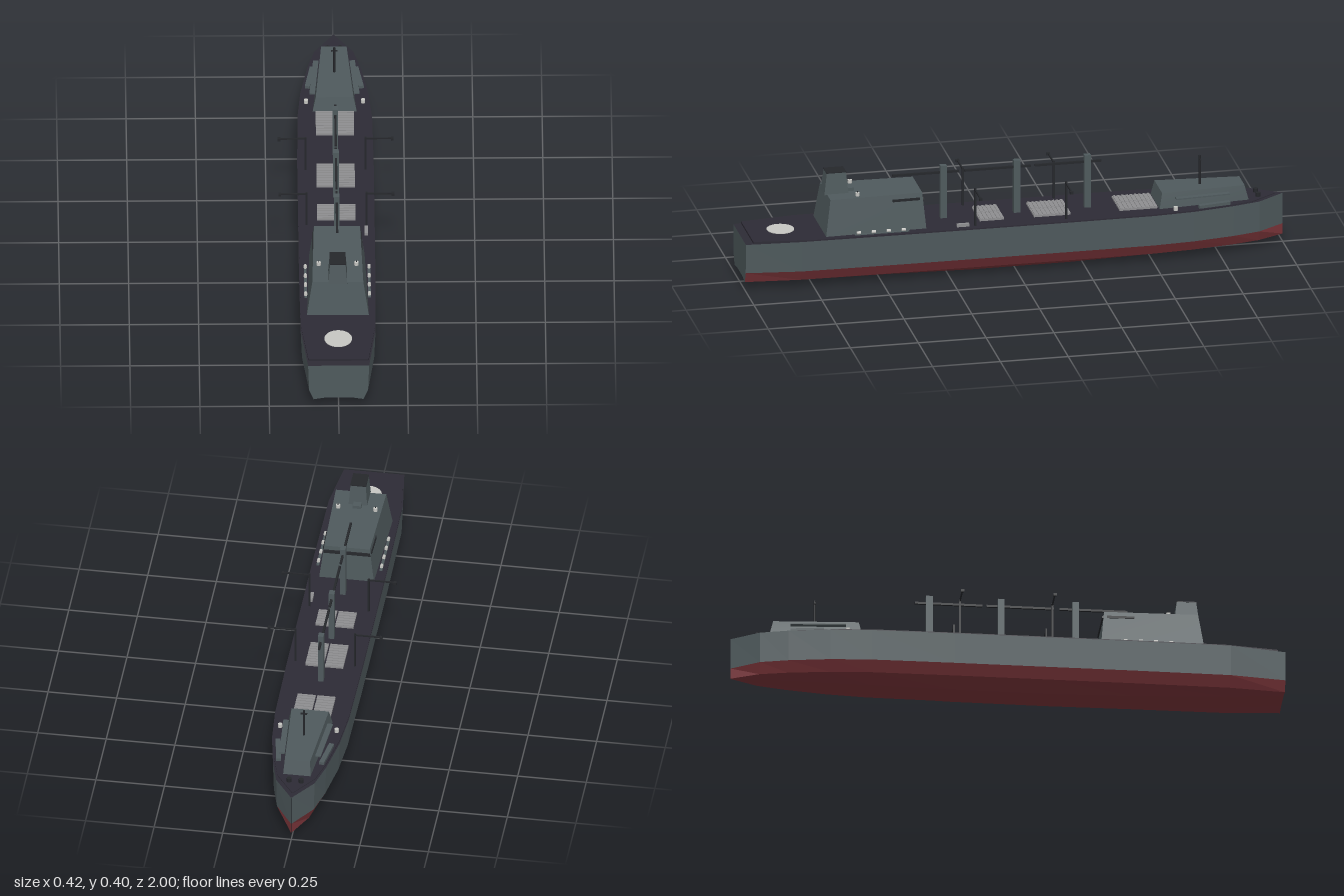
import * as THREE from 'three';

const mat = (name, color, side = THREE.FrontSide) => {
  const m = new THREE.MeshStandardMaterial({ color, side });
  m.name = name;
  return m;
};

export function createModel() {
  const ship = new THREE.Group();
  ship.name = 'cargoShip';
  const grey = mat('hullGrey', 0x4f5a5d);
  const red = mat('bottomRed', 0x7a3439);
  const deck = mat('deckDark', 0x2d2b35);
  const black = mat('fittingBlack', 0x25272b);
  const hatchGrey = mat('hatchGrey', 0x8e8e90);
  const pale = mat('paleGrey', 0xc6c6c2);

  const add = (name, geo, material, x = 0, y = 0, z = 0) => {
    const m = new THREE.Mesh(geo, material);
    m.name = name;
    m.position.set(x, y, z);
    ship.add(m);
    return m;
  };
  const box = (name, w, h, d, material, x, y, z) =>
    add(name, new THREE.BoxGeometry(w, h, d), material, x, y, z);
  const cyl = (name, r, h, material, x, y, z, n = 10) =>
    add(name, new THREE.CylinderGeometry(r, r, h, n), material, x, y, z);

  // Tapered block: each end is [y, aft half width, forward half width, aft z, forward z]
  const block = (name, low, high, material) => {
    const g = new THREE.BoxGeometry(2, 2, 2);
    const p = g.attributes.position;
    for (let i = 0; i < p.count; i++) {
      const [y, wa, wf, za, zf] = p.getY(i) < 0 ? low : high;
      const aft = p.getZ(i) > 0;
      p.setXYZ(i, p.getX(i) * (aft ? wa : wf), y, aft ? za : zf);
    }
    g.computeVertexNormals();
    return add(name, g, material);
  };

  // Hull stations, bow to stern: z, deck half width, chine half width, keel half width, keel y, deck y
  const stations = [
    [-1, 0.001, 0.001, 0.0005, 0.03, 0.187],
    [-0.9, 0.07, 0.05, 0.018, 0.024, 0.186],
    [-0.8, 0.097, 0.073, 0.03, 0.019, 0.186],
    [-0.65, 0.123, 0.096, 0.042, 0.012, 0.185],
    [-0.5, 0.135, 0.108, 0.048, 0.007, 0.185],
    [-0.2, 0.138, 0.111, 0.052, 0.001, 0.185],
    [0.15, 0.138, 0.111, 0.052, 0, 0.185],
    [0.45, 0.138, 0.111, 0.052, 0.006, 0.185],
    [0.8, 0.135, 0.108, 0.05, 0.022, 0.185],
    [1, 0.11, 0.09, 0.045, 0.038, 0.18],
  ];
  const rings = stations.map(([z, w, c, b, k, t]) => {
    const half = [[w, t], [w * 0.965, 0.07], [c, 0.03], [b, k]];
    return [...half, ...half.map(([x, y]) => [-x, y]).reverse()].map(([x, y]) => [x, y, z]);
  });
  const bands = { side: [], bottom: [], deck: [] };
  const bandOf = ['side', 'bottom', 'bottom', 'bottom', 'bottom', 'bottom', 'side', 'deck'];
  for (let i = 0; i < rings.length - 1; i++) {
    for (let j = 0; j < 8; j++) {
      const k = (j + 1) % 8;
      const a = rings[i + 1][j], b = rings[i + 1][k], c = rings[i][k], d = rings[i][j];
      bands[bandOf[j]].push(...a, ...b, ...c, ...a, ...c, ...d);
    }
  }
  // Transom as a fan about its deck centre
  const stern = rings[rings.length - 1];
  for (let j = 0; j < 7; j++) bands.side.push(0, 0.18, 1, ...stern[j + 1], ...stern[j]);
  const flat = (name, list, material) => {
    const g = new THREE.BufferGeometry();
    g.setAttribute('position', new THREE.Float32BufferAttribute(list, 3));
    g.computeVertexNormals();
    add(name, g, material);
  };
  flat('hullSides', bands.side, grey);
  flat('hullBottom', bands.bottom, red);
  flat('hullDeck', bands.deck, deck);

  // Raised deck plating just inside the hull edge
  const rim = stations.map(([z, w]) => [w * 0.985, z * 0.972]);
  const outline = [...rim, ...rim.map(([x, z]) => [-x, z]).reverse()];
  const deckGeo = new THREE.ExtrudeGeometry(
    new THREE.Shape(outline.map(([x, z]) => new THREE.Vector2(x, -z))),
    { depth: 0.008, bevelEnabled: false });
  deckGeo.rotateX(-Math.PI / 2);
  add('deckPlating', deckGeo, deck, 0, 0.181, 0);
  cyl('landingCircle', 0.05, 0.003, pale, 0, 0.19, 0.85, 32);

  // Aft superstructure with bridge and funnel
  block('superstructure', [0.187, 0.112, 0.1, 0.705, 0.333], [0.322, 0.092, 0.083, 0.685, 0.345], grey);
  block('bridgeWindows', [0.295, 0.086, 0.086, 0.36, 0.3375], [0.306, 0.083, 0.083, 0.36, 0.3385], black);
  for (const s of [-1, 1]) {
    const strip = box('sideWindows', 0.004, 0.009, 0.1, black, s * 0.0885, 0.3, 0.405);
    strip.rotation.y = s * 0.025;
    cyl('roofDome', 0.008, 0.013, pale, s * 0.068, 0.328, 0.58, 12);
    cyl('domeAerial', 0.0015, 0.006, black, s * 0.068, 0.337, 0.58, 6);
    for (const z of [0.42, 0.475, 0.53, 0.585]) {
      const raft = cyl('lifeRaft', 0.006, 0.014, pale, s * 0.115, 0.197, z, 8);
      raft.rotation.x = Math.PI / 2;
    }
    box('sideRail', 0.01, 0.004, 0.2, grey, s * 0.115, 0.19, 0.5);
  }
  block('funnel', [0.32, 0.034, 0.034, 0.695, 0.606], [0.4, 0.028, 0.028, 0.685, 0.614], grey);
  box('funnelCap', 0.058, 0.003, 0.073, black, 0, 0.4015, 0.6495);
  box('funnelVent', 0.03, 0.012, 0.025, grey, 0, 0.328, 0.595);

  // Forward deckhouse and mast
  block('forwardHouse', [0.187, 0.08, 0.05, -0.53, -0.865], [0.245, 0.068, 0.046, -0.542, -0.85], grey);
  cyl('foreMast', 0.004, 0.11, black, 0, 0.3, -0.695, 8);
  box('foreMastYard', 0.024, 0.004, 0.006, black, 0, 0.34, -0.695);
  for (const s of [-1, 1]) {
    const ledge = box('houseLedge', 0.02, 0.005, 0.2, grey, s * 0.073, 0.225, -0.69);
    ledge.rotation.y = s * 0.075;
    const wing = box('deckLocker', 0.018, 0.012, 0.12, grey, s * 0.088, 0.194, -0.73);
    wing.rotation.y = s * 0.16;
    cyl('capstan', 0.008, 0.016, pale, s * 0.103, 0.195, -0.585);
    cyl('mooringBitt', 0.009, 0.018, black, s * 0.022, 0.195, -0.905);
  }

  // Cargo hatches: ribbed covers in two leaves
  for (const [z0, z1] of [[-0.525, -0.385], [-0.205, -0.07], [0.04, 0.13]]) {
    const d = z1 - z0, n = Math.round(d / 0.015);
    for (const s of [-1, 1]) {
      box('hatchCover', 0.066, 0.008, d, hatchGrey, s * 0.036, 0.192, (z0 + z1) / 2);
      for (let i = 0; i < n; i++) {
        box('hatchRib', 0.066, 0.003, 0.008, hatchGrey, s * 0.036, 0.197, z0 + (i + 0.5) * d / n);
      }
    }
  }
  box('deckBox', 0.012, 0.012, 0.045, hatchGrey, 0.107, 0.194, 0.2);

  // Centreline crane posts with fore-and-aft booms
  for (const z of [0.25, -0.02, -0.28]) {
    box('cranePost', 0.02, 0.205, 0.024, grey, 0, 0.2875, z);
    box('craneBoom', 0.008, 0.008, 0.245, black, 0, 0.363, z + (z > 0 ? 0.065 : 0.07));
  }

  // Side davits with outboard arms
  for (const z of [0.155, -0.18]) {
    for (const s of [-1, 1]) {
      box('davitPost', 0.007, 0.145, 0.007, black, s * 0.108, 0.2605, z);
      box('davitArm', 0.102, 0.005, 0.005, black, s * 0.157, 0.327, z);
      box('davitHead', 0.01, 0.01, 0.012, black, s * 0.204, 0.325, z);
    }
  }
  return ship;
}
